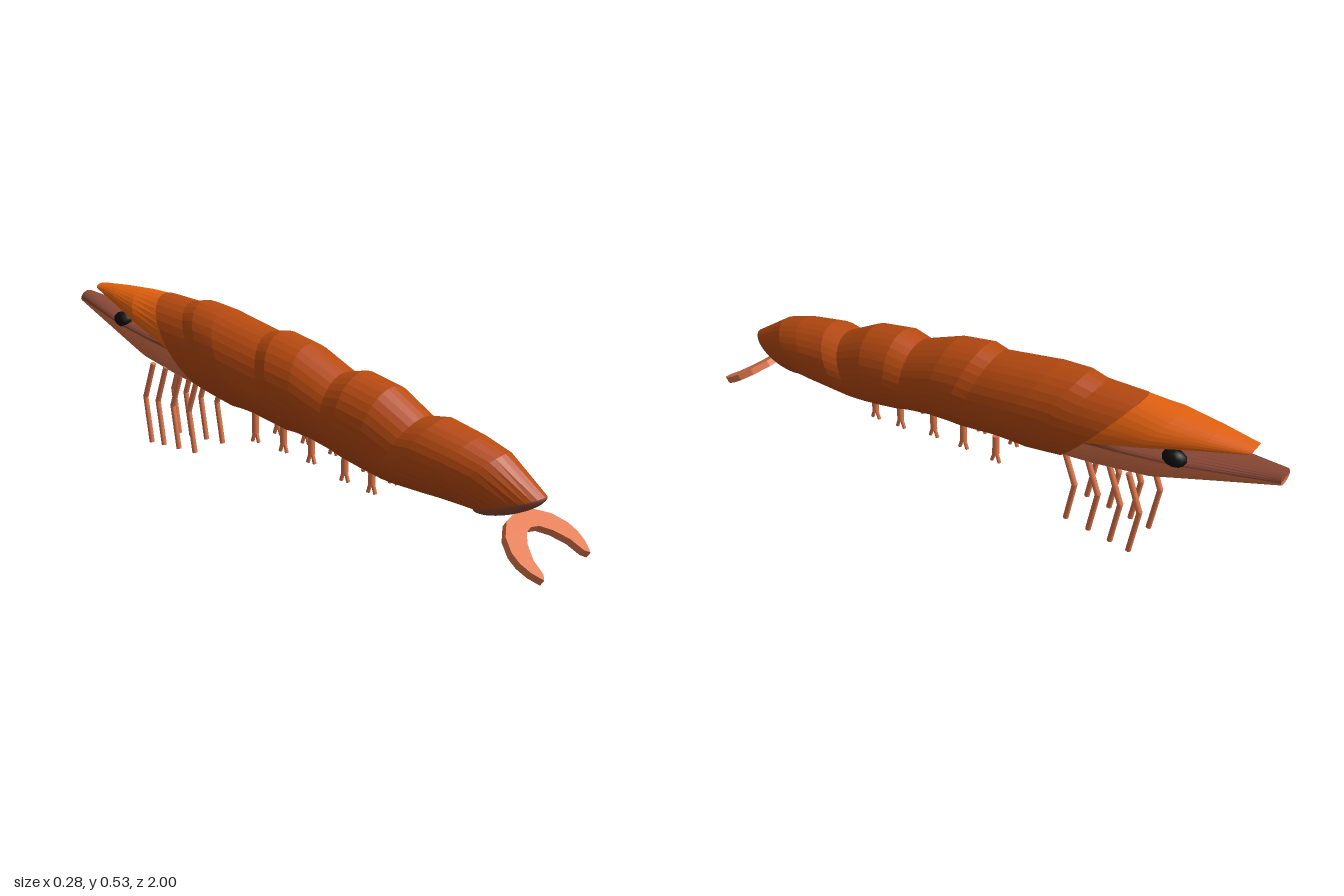
import * as THREE from 'three';

const mat = (name, color, side = THREE.FrontSide) => {
  const m = new THREE.MeshStandardMaterial({ color, side });
  m.name = name;
  return m;
};

// Flat-faceted loft through slanted elliptical rings, listed from +z to -z.
// Each ring: [cx, halfWidth, topZ, topY, rimZ, rimY, bottomZ, bottomY]; a0..a1 is the swept arc.
function loft(rings, a0, a1, segs, capEnd = false) {
  const pos = [], idx = [], n = segs + 1;
  for (const [cx, w, tz, ty, rz, ry, bz, by] of rings) {
    for (let j = 0; j <= segs; j++) {
      const a = a0 + (a1 - a0) * j / segs, s = Math.sin(a), k = Math.abs(s);
      const [ez, ey] = s > 0 ? [tz, ty] : [bz, by];
      pos.push(cx + w * Math.cos(a), ry + k * (ey - ry), rz + k * (ez - rz));
    }
  }
  for (let i = 0; i < rings.length - 1; i++) {
    for (let j = 0; j < segs; j++) {
      const p = i * n + j, q = p + n;
      idx.push(p, q, p + 1, p + 1, q, q + 1);
    }
  }
  if (capEnd) {
    const b = (rings.length - 1) * n;
    for (let j = 1; j < segs; j++) idx.push(b, b + j + 1, b + j);
  }
  const g = new THREE.BufferGeometry();
  g.setAttribute('position', new THREE.Float32BufferAttribute(pos, 3));
  g.setIndex(idx);
  const flat = g.toNonIndexed();
  flat.computeVertexNormals();
  return flat;
}

export function createModel() {
  const root = new THREE.Group();
  root.name = 'shrimp';
  const shell = mat('shell rust', 0xb84a10, THREE.DoubleSide);
  const orange = mat('carapace orange', 0xe5620e, THREE.DoubleSide);
  const salmon = mat('salmon', 0xe0774c, THREE.DoubleSide);
  const brown = mat('brown', 0x8c4936, THREE.DoubleSide);
  const black = mat('eye black', 0x0c0c0c);

  const add = (name, geo, material, parent = root) => {
    const m = new THREE.Mesh(geo, material);
    m.name = name;
    parent.add(m);
    return m;
  };
  const rod = (name, a, b, r, parent) => {
    const A = new THREE.Vector3(...a), B = new THREE.Vector3(...b), d = B.clone().sub(A);
    const m = add(name, new THREE.CylinderGeometry(r, r, d.length(), 10), salmon, parent);
    m.position.copy(A).add(B).multiplyScalar(0.5);
    m.quaternion.setFromUnitVectors(new THREE.Vector3(0, 1, 0), d.normalize());
  };

  // Segmented body: [topZ, topY, bottomZ, bottomY, halfWidth, centreX]
  const body = [
    [0.913, 0.206, 0.69, 0.115, 0.06, 0.003], [0.785, 0.297, 0.60, 0.12, 0.095, 0],
    [0.70, 0.325, 0.54, 0.12, 0.105, -0.003], [0.58, 0.35, 0.44, 0.12, 0.113, -0.005],
    [0.515, 0.34, 0.40, 0.122, 0.107, -0.006], [0.40, 0.404, 0.34, 0.132, 0.117, -0.008],
    [0.286, 0.426, 0.27, 0.147, 0.12, -0.01], [0.22, 0.41, 0.22, 0.162, 0.113, -0.011],
    [0.08, 0.47, 0.14, 0.178, 0.121, -0.013], [-0.03, 0.49, 0.07, 0.185, 0.126, -0.014],
    [-0.08, 0.48, 0.03, 0.183, 0.118, -0.015], [-0.20, 0.502, -0.04, 0.195, 0.123, -0.016],
    [-0.28, 0.517, -0.09, 0.205, 0.127, -0.016], [-0.38, 0.528, -0.16, 0.207, 0.122, -0.016],
    [-0.436, 0.517, -0.20, 0.205, 0.115, -0.016], [-0.57, 0.522, -0.32, 0.228, 0.112, -0.016],
  ].map(([tz, ty, bz, by, w, cx]) => [cx, w, tz, ty, (tz + bz) / 2, (ty + by) / 2, bz, by]);
  add('body', loft(body, 0, Math.PI * 2, 32), shell);

  // Rounded end of the tail
  const dome = add('tailEnd', new THREE.SphereGeometry(1, 24, 8, 0, Math.PI * 2, 0, Math.PI / 2), brown);
  dome.scale.set(0.06, 0.032, 0.121);
  dome.position.set(0.003, 0.1605, 0.8015);
  dome.rotation.x = Math.PI - Math.atan2(0.091, 0.223);

  // Crescent tail fan
  const half = [[0.06, 0.012], [0.11, 0.05], [0.136, 0.095], [0.141, 0.13], [0.134, 0.165], [0.115, 0.2],
    [0.1, 0.185], [0.09, 0.14], [0.062, 0.095], [0.03, 0.066]];
  const outline = [[0, 0], ...half, [0, 0.058], ...half.slice().reverse().map(([x, y]) => [-x, y])];
  const fan = add('tailFan', new THREE.ExtrudeGeometry(
    new THREE.Shape(outline.map(p => new THREE.Vector2(...p))), { depth: 0.022, bevelEnabled: false }), salmon);
  fan.position.set(0, 0.142, 0.828);
  fan.rotation.x = 2.13;

  // Head: open carapace above a tapering jaw
  const c = -0.017;
  const head = [
    [c, 0.109, -0.50, 0.44, -0.43, 0.37, -0.315, 0.232],
    [c, 0.105, -0.58, 0.42, -0.55, 0.385, -0.43, 0.247],
    [c, 0.085, -0.72, 0.43, -0.72, 0.402, -0.61, 0.277],
    [c, 0.03, -0.995, 0.463, -1, 0.437, -1, 0.42],
  ];
  add('jaw', loft(head, Math.PI, Math.PI * 2, 16, true), salmon);
  add('mouth', loft(head, 0, Math.PI, 16, true), brown);
  const carapace = [
    [c, 0.111, -0.57, 0.52, -0.435, 0.372], [c, 0.1, -0.68, 0.518, -0.61, 0.426],
    [c, 0.066, -0.80, 0.512, -0.763, 0.463], [c, 0.03, -0.912, 0.503, -0.905, 0.49],
  ].map(r => [...r, 0, 0]);
  add('carapace', loft(carapace, 0, Math.PI, 18), orange);

  for (const [side, s] of [['left', 1], ['right', -1]]) {
    const eye = add(side + 'Eye', new THREE.IcosahedronGeometry(1, 1), black);
    eye.scale.set(0.026, 0.027, 0.038);
    eye.position.set(c + s * 0.074, 0.42, -0.71);

    // Long jointed walking legs
    [-0.356, -0.436, -0.512, -0.576].forEach((z, i) => {
      const leg = new THREE.Group(), x = -0.02 + s * 0.063;
      leg.name = side + 'WalkingLeg' + (i + 1);
      root.add(leg);
      const knee = [x, 0.163, z - 0.04];
      rod('upperLeg', [x, 0.29, z + 0.006], knee, 0.009, leg);
      rod('lowerLeg', [x, 0.168, z - 0.041], [x, 0.022 - i * 0.006, z - 0.016], 0.009, leg);
    });

    // Short forked swimming legs
    [[0.37, 0.082], [0.265, 0.09], [0.13, 0.112], [0.013, 0.118], [-0.11, 0.12]].forEach(([z, y], i) => {
      const leg = new THREE.Group(), x = -0.008 + s * 0.05;
      leg.name = side + 'SwimmingLeg' + (i + 1);
      root.add(leg);
      rod('stem', [x, y + 0.1, z], [x, y + 0.028, z], 0.011, leg);
      for (const f of [-1, 1]) rod('prong', [x, y + 0.034, z + f * 0.003], [x, y, z + f * 0.014], 0.006, leg);
    });
  }
  return root;
}
